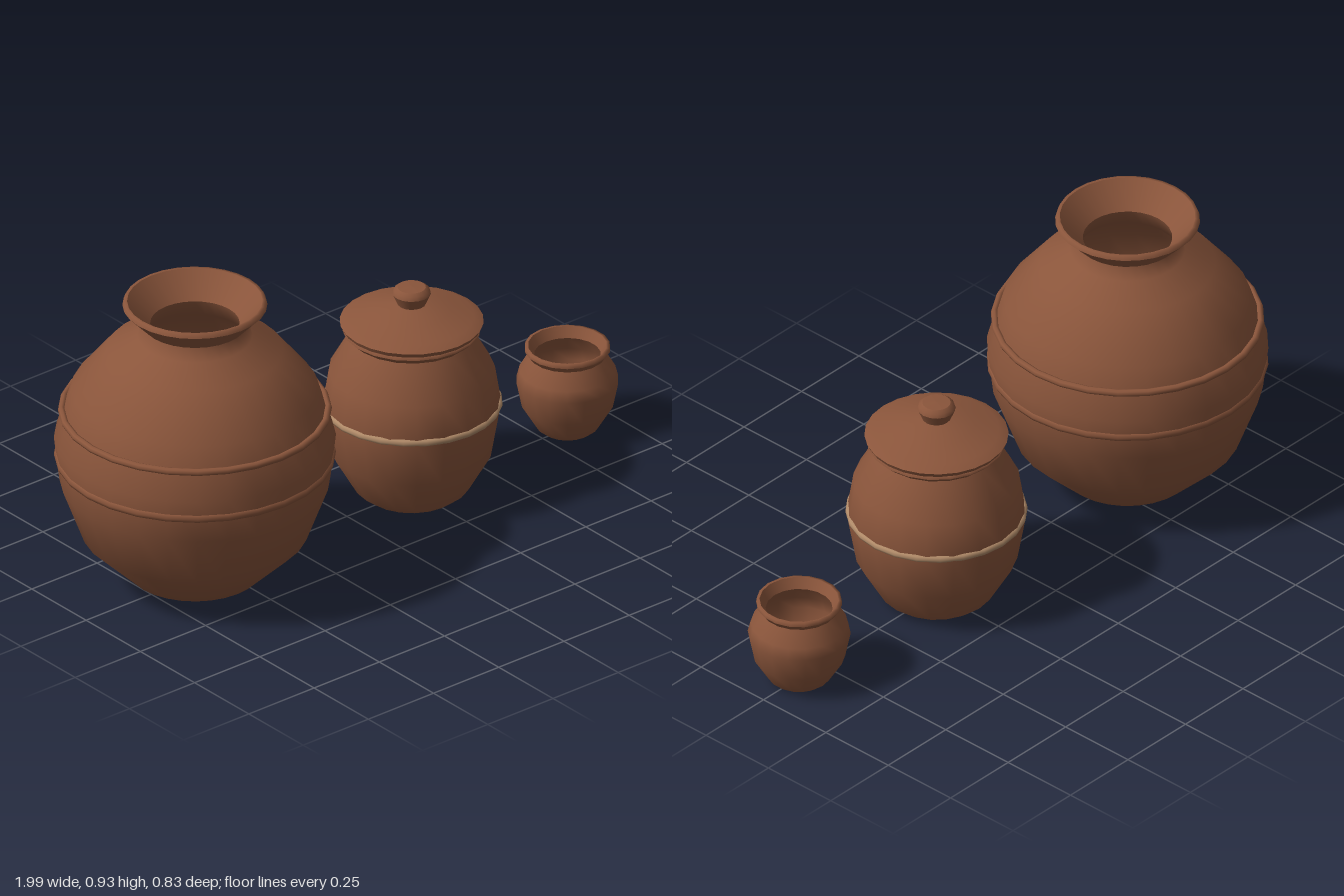
import * as THREE from 'three';

const clay = new THREE.MeshStandardMaterial({ color: 0x8a553b });
clay.name = 'clay';
const slip = new THREE.MeshStandardMaterial({ color: 0xb08a68 });
slip.name = 'paleSlip';

// Each run of [radius, y] points is smooth; separate runs keep a sharp edge between them.
function turned(name, sides, ...runs) {
  const group = new THREE.Group();
  group.name = name;
  for (const run of runs) {
    const points = run.map(([r, y]) => new THREE.Vector2(r, y));
    const mesh = new THREE.Mesh(new THREE.LatheGeometry(points, sides), clay);
    mesh.name = name + 'Surface';
    group.add(mesh);
  }
  return group;
}

function ring(name, radius, tube, y, sides, material) {
  const geometry = new THREE.TorusGeometry(radius, tube, 8, sides).rotateX(Math.PI / 2);
  const mesh = new THREE.Mesh(geometry, material);
  mesh.name = name;
  mesh.position.y = y;
  return mesh;
}

function jar(name, x, ...parts) {
  const group = new THREE.Group();
  group.name = name;
  group.position.x = x;
  group.add(...parts);
  return group;
}

export function createModel() {
  const model = new THREE.Group();
  model.name = 'clayPots';

  // Large storage pot with flared mouth and two raised bands
  model.add(jar('largePot', -0.583,
    turned('largeBody', 28,
      [[0, 0], [0.135, 0]],
      [[0.135, 0], [0.197, 0.025], [0.335, 0.16], [0.4, 0.335], [0.416, 0.475],
        [0.365, 0.635], [0.26, 0.765], [0.17, 0.812], [0.155, 0.853]]),
    turned('largeRim', 28,
      [[0.155, 0.853], [0.214, 0.915]],
      [[0.214, 0.915], [0.209, 0.928], [0.2, 0.928]],
      [[0.2, 0.928], [0.132, 0.853]]),
    turned('largeInside', 28,
      [[0.132, 0.853], [0.15, 0.8], [0.24, 0.75], [0.345, 0.625], [0.385, 0.475],
        [0.375, 0.335], [0.31, 0.17], [0.18, 0.04], [0, 0.03]]),
    ring('upperBand', 0.393, 0.011, 0.565, 28, clay),
    ring('lowerBand', 0.4, 0.016, 0.417, 28, clay)));

  // Medium jar with pale stripe and knobbed lid
  model.add(jar('liddedJar', 0.248,
    turned('jarBody', 20,
      [[0, 0], [0.14, 0]],
      [[0.14, 0], [0.172, 0.025], [0.24, 0.145], [0.265, 0.29], [0.246, 0.41], [0.182, 0.525]]),
    turned('jarRim', 20,
      [[0.182, 0.525], [0.205, 0.546]],
      [[0.205, 0.546], [0.202, 0.558], [0.16, 0.558]]),
    ring('paleStripe', 0.257, 0.012, 0.3, 24, slip),
    turned('lid', 24,
      [[0, 0.558], [0.206, 0.558]],
      [[0.206, 0.558], [0.213, 0.572]],
      [[0.213, 0.572], [0.185, 0.587], [0.115, 0.608], [0.055, 0.628], [0, 0.632]]),
    turned('knob', 16,
      [[0.04, 0.625], [0.057, 0.664]],
      [[0.057, 0.664], [0.053, 0.676], [0.042, 0.684]],
      [[0.042, 0.684], [0, 0.686]])));

  // Small open pot
  model.add(jar('smallPot', 0.845,
    turned('smallBody', 18,
      [[0, 0], [0.075, 0]],
      [[0.075, 0], [0.094, 0.015], [0.136, 0.085], [0.152, 0.165], [0.143, 0.2], [0.114, 0.25]]),
    turned('smallRim', 18,
      [[0.114, 0.25], [0.127, 0.268]],
      [[0.127, 0.268], [0.126, 0.28], [0.117, 0.281]],
      [[0.117, 0.281], [0.099, 0.25]]),
    turned('smallInside', 18,
      [[0.099, 0.25], [0.128, 0.2], [0.135, 0.16], [0.12, 0.09], [0.08, 0.03], [0, 0.022]])));

  return model;
}
